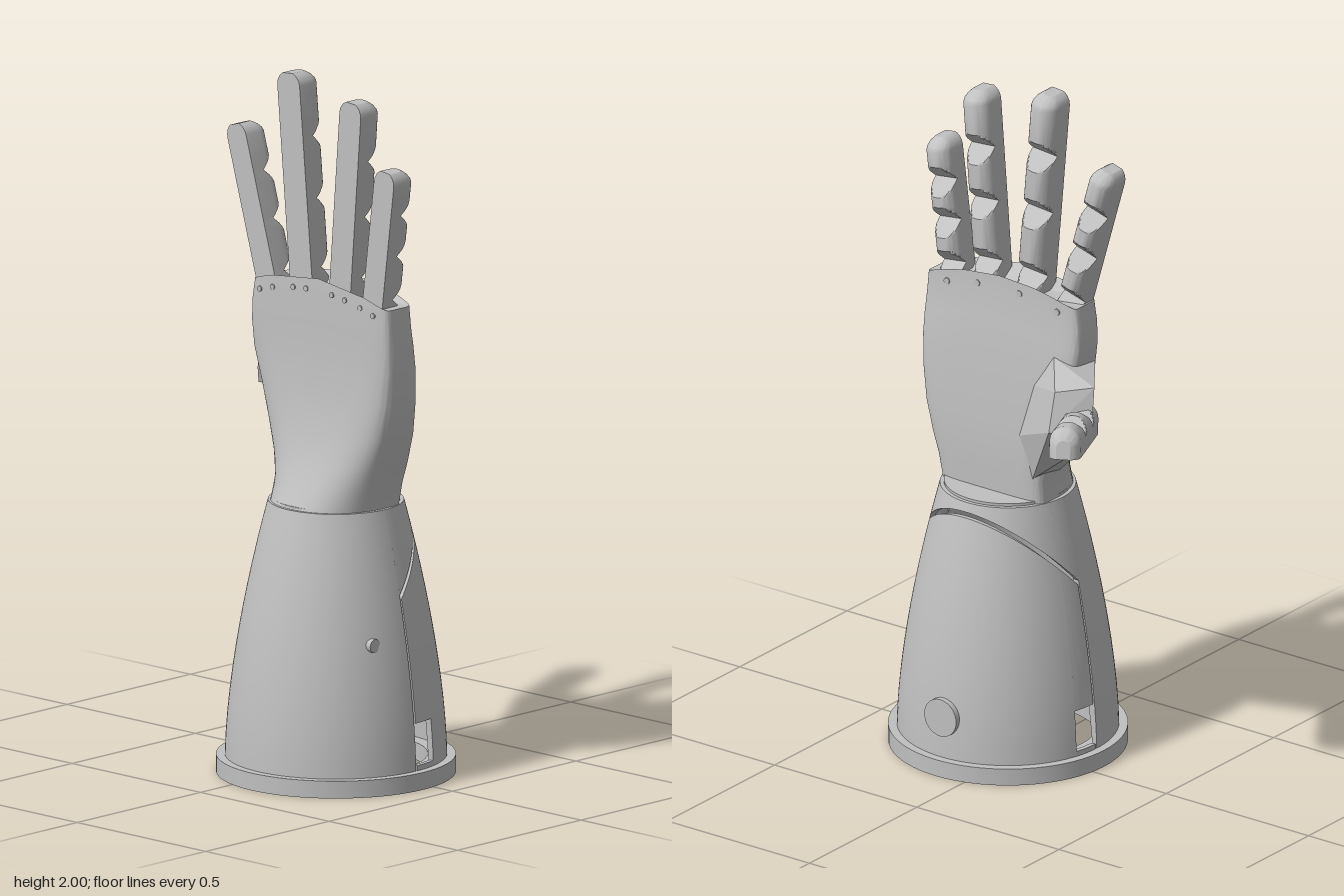
import * as THREE from 'three';
import { toCreasedNormals } from 'three/addons/utils/BufferGeometryUtils.js';
import { ConvexGeometry } from 'three/addons/geometries/ConvexGeometry.js';

const grey = new THREE.MeshStandardMaterial({ color: 0xc0c0c0 });
grey.name = 'grey plastic';

const V = (x, y, z) => new THREE.Vector3(x, y, z);

function mesh(name, geometry, parent) {
  const m = new THREE.Mesh(geometry, grey);
  m.name = name;
  parent.add(m);
  return m;
}

// Closed solid through a row of rings with equal point counts, capped at both ends
function loft(rings, crease = 0.5) {
  const n = rings[0].length, pos = [], index = [];
  rings.forEach(r => r.forEach(p => pos.push(p.x, p.y, p.z)));
  for (let i = 0; i < rings.length - 1; i++) {
    for (let j = 0; j < n; j++) {
      const a = i * n + j, b = i * n + (j + 1) % n;
      index.push(a, b, b + n, a, b + n, a + n);
    }
  }
  [0, rings.length - 1].forEach((i, end) => {
    const c = V(0, 0, 0);
    rings[i].forEach(p => c.addScaledVector(p, 1 / n));
    const k = pos.length / 3;
    pos.push(c.x, c.y, c.z);
    for (let j = 0; j < n; j++) {
      const a = i * n + j, b = i * n + (j + 1) % n;
      if (end) index.push(k, a, b); else index.push(k, b, a);
    }
  });
  const g = new THREE.BufferGeometry();
  g.setAttribute('position', new THREE.Float32BufferAttribute(pos, 3));
  g.setIndex(index);
  return toCreasedNormals(g, crease);
}

// Cuff: centre, outer radius by height, and the slanted cut line
const CX = -0.047, CZ = 0.092, WALL = 0.014;
const radius = y => 0.312 - 0.122 * Math.pow(Math.max(0, (y - 0.05) / 0.74), 1.6);
function cutHeight(a) {
  let y = 0.53;
  for (let i = 0; i < 12; i++) y = 0.53 + 1.05 * radius(y) * Math.max(0, Math.sin(a));
  return y;
}

// Curved wall between two angles and two heights (heights may depend on the angle)
function wall(a0, a1, bottom, top, steps) {
  const rings = [], m = 12;
  for (let i = 0; i <= steps; i++) {
    const a = a0 + (a1 - a0) * i / steps, lo = bottom(a), hi = top(a), ring = [];
    for (let k = 0; k <= 2 * m + 1; k++) {
      const inner = k > m;
      const y = hi + (lo - hi) * (inner ? 2 * m + 1 - k : k) / m;
      const r = radius(y) - (inner ? WALL : 0);
      ring.push(V(CX + r * Math.sin(a), y, CZ + r * Math.cos(a)));
    }
    rings.push(ring);
  }
  return loft(rings);
}

function buildCuff(parent) {
  const cuff = new THREE.Group();
  cuff.name = 'forearmCuff';
  parent.add(cuff);
  const flat = y => () => y, PI = Math.PI, gap = 0.02, win = 0.26;
  mesh('backShell', wall(PI, 2 * PI, flat(0.05), flat(0.785), 48), cuff);
  mesh('upperShell', wall(0, PI, a => cutHeight(a) + 0.016, flat(0.785), 48), cuff);
  mesh('frontPanel', wall(win, PI - win, flat(0.05), cutHeight, 48), cuff);
  // Panel edges, each with a window
  [[gap, win], [PI - win, PI - gap]].forEach(([a0, a1]) => {
    mesh('panelEdge', wall(a0, a1, flat(0.185), cutHeight, 8), cuff);
    mesh('windowSill', wall(a0, a1, flat(0.05), flat(0.065), 8), cuff);
  });
  const ring = [[0.258, 0], [0.337, 0], [0.337, 0.05], [0.258, 0.05], [0.258, 0]];
  const flange = new THREE.LatheGeometry(ring.map(p => new THREE.Vector2(...p)), 72);
  mesh('baseFlange', toCreasedNormals(flange, 0.5), cuff).position.set(CX, 0, CZ);
  mesh('wristDisc', new THREE.CylinderGeometry(0.18, 0.18, 0.02, 48), cuff).position.set(CX, 0.783, CZ);

  const button = mesh('sideButton', new THREE.CylinderGeometry(0.056, 0.056, 0.03, 32), cuff);
  button.rotation.z = -PI / 2;
  button.position.set(0.254, 0.17, CZ);
  const pin = mesh('cuffPin', new THREE.CylinderGeometry(0.02, 0.02, 0.03, 20), cuff);
  pin.rotation.x = PI / 2;
  pin.position.set(-0.155, 0.42, CZ + 0.241);
}

// Palm: boxy front, back that swells into the round wrist
function buildPalm(parent) {
  // height, back x, front x, low z, high z, back squareness
  const sections = [
    [0.785, -0.228, 0.046, -0.088, 0.272, 0.9], [0.85, -0.195, 0.047, -0.085, 0.285, 0.8],
    [0.915, -0.166, 0.047, -0.1, 0.307, 0.65], [1.0, -0.143, 0.043, -0.125, 0.332, 0.5],
    [1.1, -0.127, 0.035, -0.155, 0.348, 0.38], [1.2, -0.119, 0.026, -0.182, 0.354, 0.28],
    [1.3, -0.116, 0.014, -0.188, 0.354, 0.22], [1.37, -0.115, 0.003, -0.184, 0.351, 0.18],
    [1.43, -0.112, 0.0, -0.174, 0.346, 0.16]];
  const mid = -0.03, n = 64;
  const power = (v, p) => Math.sign(v) * Math.pow(Math.abs(v), p);
  const rings = sections.map(([y, back, front, z0, z1, sq]) => {
    const ring = [], bend = THREE.MathUtils.smoothstep(y, 1.15, 1.37);
    for (let j = 0; j < n; j++) {
      const a = j / n * Math.PI * 2, s = Math.sin(a), p = s > 0 ? 0.35 : sq;
      const z = (z0 + z1) / 2 + (z1 - z0) / 2 * power(Math.cos(a), p);
      const x = mid + power(s, p) * (s > 0 ? front - mid : mid - back);
      ring.push(V(x, y - bend * 0.7 * (z - 0.07) ** 2, z));
    }
    return ring;
  });
  mesh('palm', loft(rings, 0.6), parent);

  // Thumb mount
  const mount = [
    V(0.05, 1.2, -0.285), V(0.115, 1.185, -0.195), V(0.15, 1.075, -0.2), V(0.08, 1.045, -0.295),
    V(-0.1, 1.21, -0.175), V(-0.1, 0.95, -0.1), V(0.02, 1.24, -0.12), V(0.04, 0.86, -0.06),
    V(-0.06, 0.85, -0.07), V(0.04, 0.98, -0.01), V(0.025, 1.14, -0.05)];
  mesh('thumbMount', new ConvexGeometry(mount), parent);

  // Knuckle pins on the front, smaller ones along the back
  const pinRow = (name, zs, x, r) => zs.forEach(z => {
    const pin = mesh(name, new THREE.CylinderGeometry(r, r, 0.012, 16), parent);
    pin.rotation.z = Math.PI / 2;
    pin.position.set(x, 1.395 - 0.7 * (z - 0.07) ** 2, z);
  });
  pinRow('knucklePin', [0.27, 0.164, 0.016, -0.116], -0.002, 0.01);
  pinRow('backPin', [0.3, 0.25, 0.19, 0.14, 0.04, -0.01, -0.09, -0.14], -0.111, 0.008);
}

// Finger: D-shaped bar along +y, flat back at x = 0, V notches on the +x side
function fingerGeometry(length, width, thick, notches, start) {
  const apex = 0.04, half = 0.045;
  const stations = [start, length - 0.035, length - 0.024, length - 0.012, length - 0.004, length];
  notches.forEach(s => { for (let k = -5; k <= 5; k++) stations.push(s + k * half / 5); });
  const rows = stations.filter(s => s >= start && s <= length).sort((a, b) => a - b)
    .filter((s, i, all) => i === 0 || s - all[i - 1] > 1e-4);
  const rings = rows.map(s => {
    const t = Math.max(0, (s - length + 0.036) / 0.036);
    const round = Math.sqrt(1 - 0.8 * t * t);
    const w = width / 2 * round, depth = thick * (1 - 0.4 * t * t);
    const cut = Math.min(...notches.map(c => apex + Math.abs(s - c) * (thick - apex) / half));
    const ring = [V(0, s, w)], straight = depth - width / 2 * round;
    for (let k = 0; k <= 16; k++) {
      const a = k / 16 * Math.PI;
      ring.push(V(Math.min(cut, straight + w * Math.sin(a)), s, w * Math.cos(a)));
    }
    ring.push(V(0, s, -w));
    return ring;
  });
  return loft(rings, 0.45);
}

function buildFingers(parent) {
  // name, base y, base z, lean, length, width
  [['littleFinger', 1.39, 0.285, 0.125, 0.388, 0.077],
    ['ringFinger', 1.43, 0.16, 0.077, 0.524, 0.083],
    ['middleFinger', 1.43, 0.005, -0.088, 0.572, 0.087],
    ['indexFinger', 1.39, -0.13, -0.28, 0.445, 0.075]].forEach(([name, y, z, lean, len, w]) => {
    const notches = [0.015, len * 0.37, len * 0.68];
    const finger = mesh(name, fingerGeometry(len, w, 0.094, notches, -0.05), parent);
    finger.position.set(-0.1, y, z);
    finger.rotation.x = lean;
  });

  // Thumb points outward with its notches facing up
  const along = V(0.86, 0.2, -0.47).normalize();
  const up = V(0, 1, 0).addScaledVector(along, -along.y).normalize();
  const side = up.clone().cross(along);
  const thumb = mesh('thumb', fingerGeometry(0.335, 0.09, 0.09, [0.055, 0.195], -0.04), parent);
  thumb.quaternion.setFromRotationMatrix(new THREE.Matrix4().makeBasis(up, along, side));
  thumb.position.set(0.08, 1.055, -0.257);
}

export function createModel() {
  const model = new THREE.Group();
  model.name = 'prostheticHand';
  buildCuff(model);
  buildPalm(model);
  buildFingers(model);
  return model;
}
